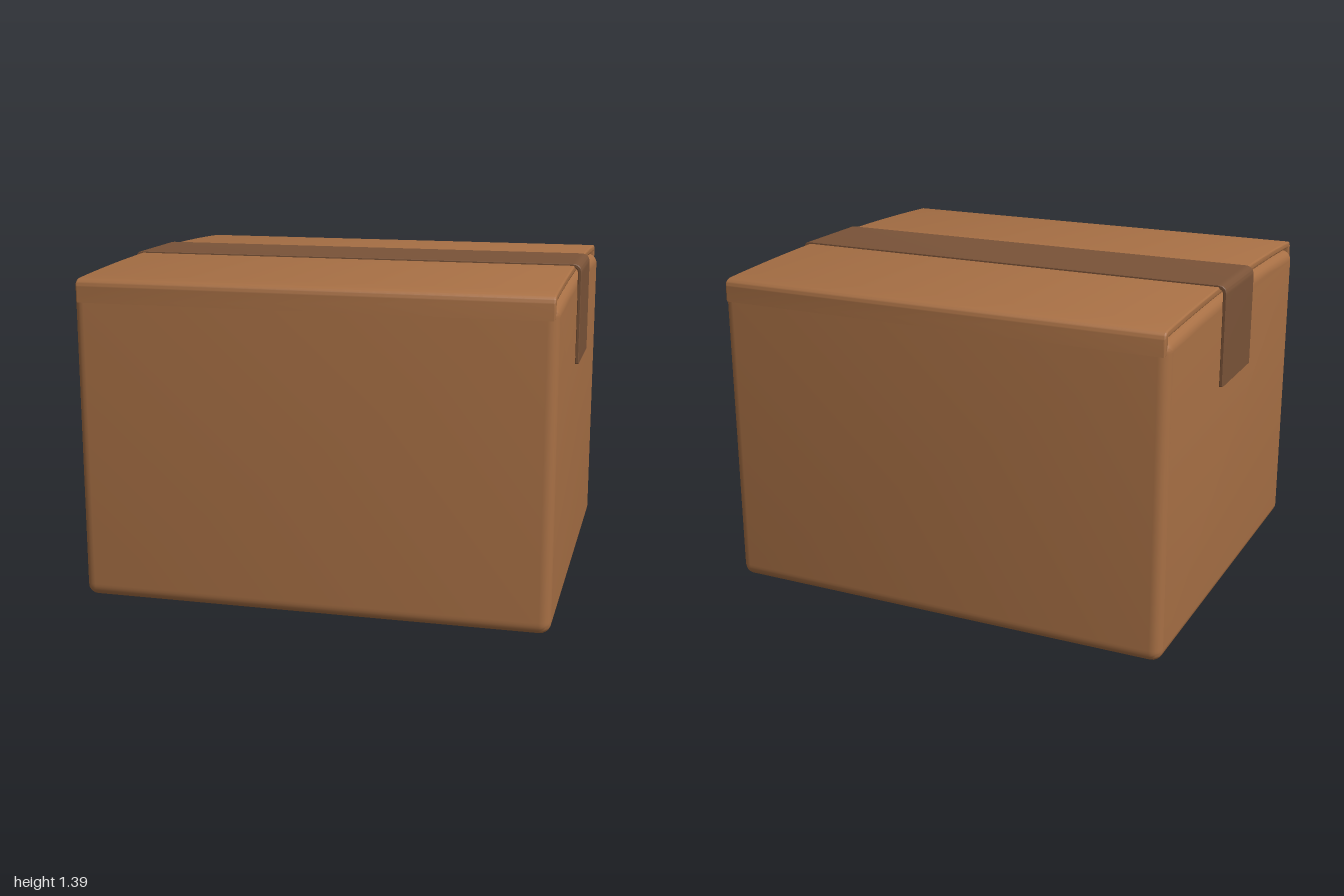
import * as THREE from 'three';
import { toCreasedNormals } from 'three/addons/utils/BufferGeometryUtils.js';

const cardboard = new THREE.MeshStandardMaterial({ color: 0xa87045 });
cardboard.name = 'cardboard';
const tapeBrown = new THREE.MeshStandardMaterial({ color: 0x7a5338 });
tapeBrown.name = 'tapeBrown';

// Extrudes a profile to a full length with rounded ends, centred on its axis
function extrude(shape, length, bevel, bevelSegments) {
  const geometry = new THREE.ExtrudeGeometry(shape, {
    depth: length - 2 * bevel,
    curveSegments: 10,
    bevelEnabled: true,
    bevelSize: bevel,
    bevelThickness: bevel,
    bevelOffset: -bevel,
    bevelSegments,
  });
  geometry.translate(0, 0, -(length - 2 * bevel) / 2);
  return toCreasedNormals(geometry, 0.7);
}

function addPart(group, name, geometry, material) {
  const mesh = new THREE.Mesh(geometry, material);
  mesh.name = name;
  group.add(mesh);
  return mesh;
}

export function createModel() {
  const group = new THREE.Group();
  group.name = 'cardboardBox';

  // Body: side profile with rounded corners and a slightly bulging top
  const w = 0.865, r = 0.055;
  const body = new THREE.Shape();
  body.moveTo(-w + r, 0);
  body.lineTo(w - r, 0);
  body.quadraticCurveTo(w, 0, w, r);
  body.lineTo(w, 1.27);
  body.quadraticCurveTo(w, 1.316, w - r, 1.318);
  body.quadraticCurveTo(0, 1.366, -w + r, 1.318);
  body.quadraticCurveTo(-w, 1.316, -w, 1.27);
  body.lineTo(-w, r);
  body.quadraticCurveTo(-w, 0, -w + r, 0);
  addPart(group, 'boxBody', extrude(body, 1.97, 0.045, 5), cardboard).rotation.y = Math.PI / 2;

  // Two bowed lid flaps, folded over the front and back top edges
  const flap = new THREE.Shape();
  flap.moveTo(0.868, 1.26);
  flap.lineTo(0.868, 1.325);
  flap.quadraticCurveTo(0.868, 1.352, 0.835, 1.357);
  flap.quadraticCurveTo(0.42, 1.381, 0, 1.381);
  flap.lineTo(0, 1.35);
  flap.quadraticCurveTo(0.42, 1.35, 0.835, 1.328);
  flap.lineTo(0.838, 1.26);
  flap.closePath();
  const flapGeometry = extrude(flap, 1.94, 0.007, 3);
  addPart(group, 'frontFlap', flapGeometry, cardboard).rotation.y = -Math.PI / 2;
  addPart(group, 'backFlap', flapGeometry, cardboard).rotation.y = Math.PI / 2;

  // Tape strip across the closing seam, hanging down both sides
  const tape = new THREE.Shape();
  const top = 1.388, low = 0.962, t = 0.016, c = 0.04;
  tape.moveTo(1, low);
  tape.lineTo(1, top - c);
  tape.quadraticCurveTo(1, top, 1 - c, top);
  tape.lineTo(-1 + c, top);
  tape.quadraticCurveTo(-1, top, -1, top - c);
  tape.lineTo(-1, low);
  tape.lineTo(-1 + t, low);
  tape.lineTo(-1 + t, top - c);
  tape.quadraticCurveTo(-1 + t, top - t, -1 + c, top - t);
  tape.lineTo(1 - c, top - t);
  tape.quadraticCurveTo(1 - t, top - t, 1 - t, top - c);
  tape.lineTo(1 - t, low);
  tape.closePath();
  addPart(group, 'sealingTape', extrude(tape, 0.385, 0.003, 1), tapeBrown).position.z = -0.034;

  return group;
}
